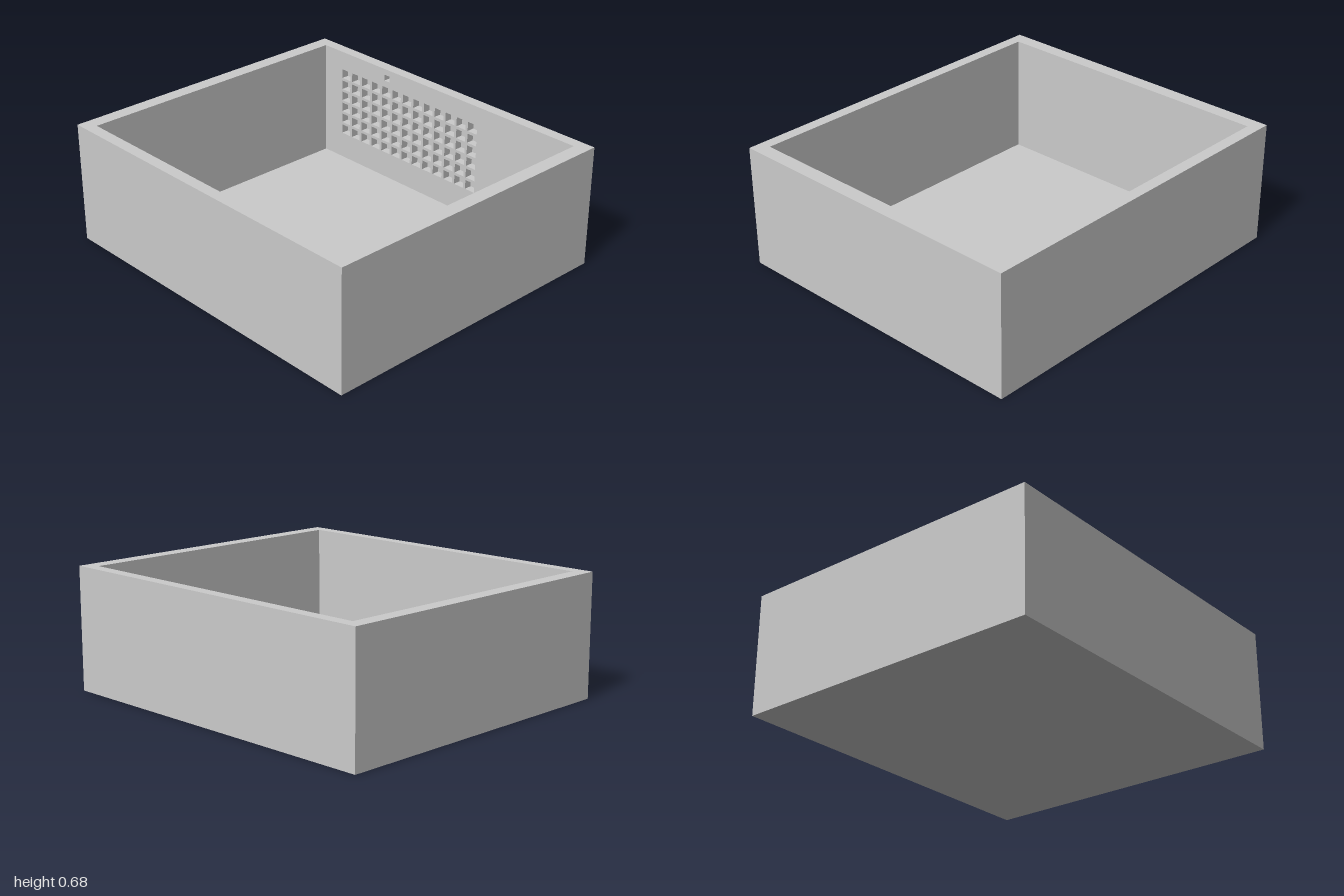
import * as THREE from 'three';

const W = 2, D = 1.75, H = 0.675;      // outer size
const IX = 0.92, IZ = 0.81;            // inner half width and depth
const FLOOR = 0.006, POCKET = 0.045;   // floor thickness, pocket depth

// Rectangle given by its left, bottom, right and top
function rect(Type, x0, y0, x1, y1) {
  const r = new Type();
  r.moveTo(x0, y0);
  r.lineTo(x1, y0);
  r.lineTo(x1, y1);
  r.lineTo(x0, y1);
  r.closePath();
  return r;
}

export function createModel() {
  const group = new THREE.Group();
  const material = new THREE.MeshStandardMaterial({ color: 0xcccccc, flatShading: true });
  const add = (name, geometry) => {
    const mesh = new THREE.Mesh(geometry, material);
    mesh.name = name;
    group.add(mesh);
    return mesh;
  };

  // Walls: a rectangular ring, thinner at the back where the pocketed panel sits
  const ring = rect(THREE.Shape, -W / 2, -D / 2, W / 2, D / 2);
  ring.holes.push(rect(THREE.Path, -IX, -IZ, IX, IZ + POCKET));
  const walls = add('walls', new THREE.ExtrudeGeometry(ring, { depth: H, bevelEnabled: false }));
  walls.rotation.x = -Math.PI / 2;

  // Thin floor
  const floor = add('floor', new THREE.BoxGeometry(2 * IX, FLOOR, IZ * 2 + POCKET));
  floor.position.set(0, FLOOR / 2, -POCKET / 2);

  // Inner back panel with a grid of square pockets and one small pocket above
  const panel = rect(THREE.Shape, -IX, FLOOR, IX, H);
  const cols = 13, rows = 6, x0 = -0.78, x1 = 0.27, y0 = 0.16, y1 = 0.566, bar = 0.016;
  const px = (x1 - x0 + bar) / cols, py = (y1 - y0 + bar) / rows;
  for (let i = 0; i < cols; i++) {
    for (let j = 0; j < rows; j++) {
      const x = x0 + i * px, y = y0 + j * py;
      panel.holes.push(rect(THREE.Path, x, y, x + px - bar, y + py - bar));
    }
  }
  panel.holes.push(rect(THREE.Path, -0.435, 0.605, -0.395, 0.64));
  const back = add('pocketedBackPanel',
    new THREE.ExtrudeGeometry(panel, { depth: POCKET, bevelEnabled: false }));
  back.position.z = -IZ - POCKET;

  return group;
}
